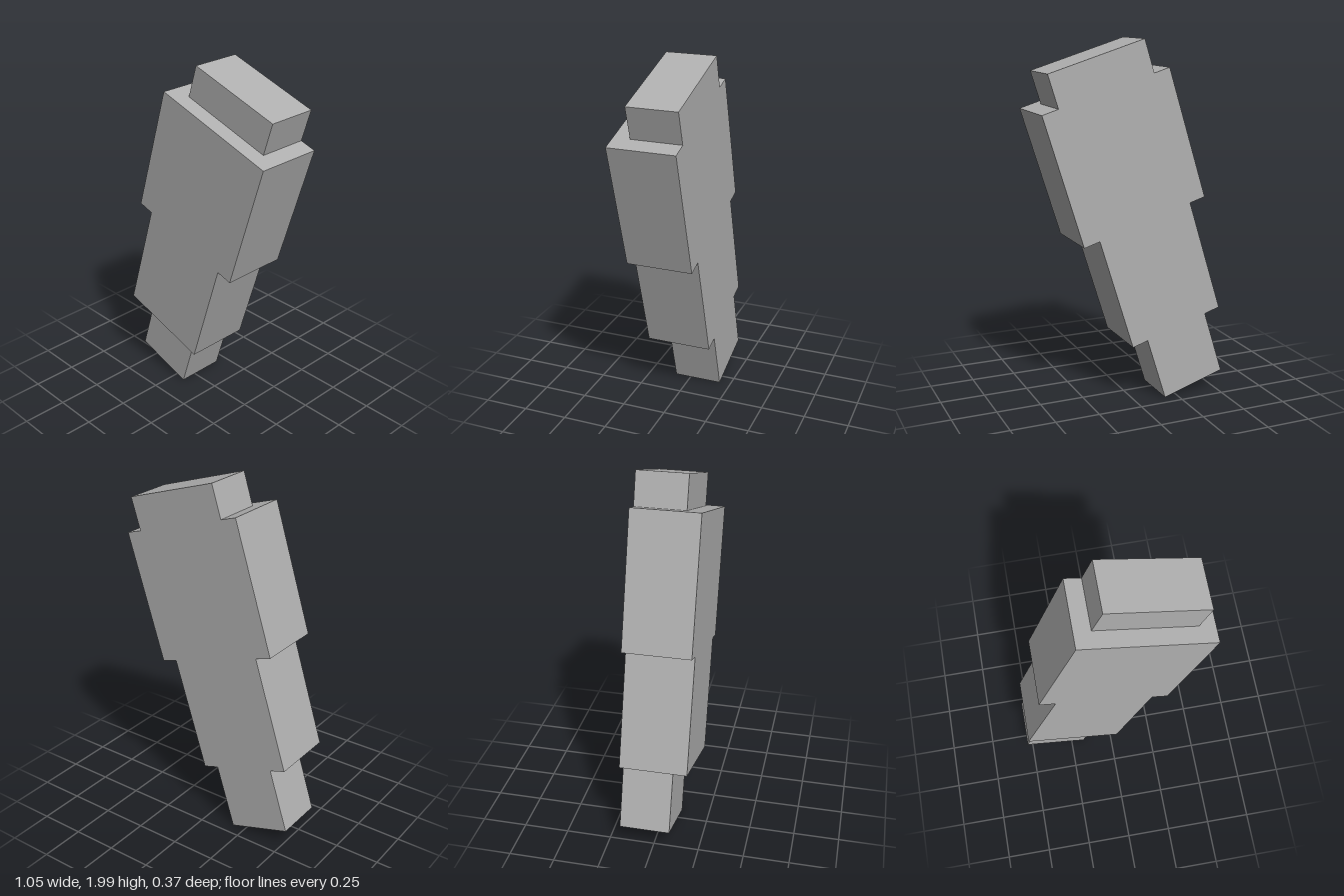
import * as THREE from 'three';

export function createModel() {
  const model = new THREE.Group();
  model.name = 'tiltedBlockFigure';
  const grey = new THREE.MeshStandardMaterial({ color: 0xb0b0b0 });
  grey.name = 'grey';

  const unit = 0.0923; // all blocks sit on this module
  const back = -2 * unit; // shared flush back plane

  // Everything is stacked along one axis, leaning to the side
  const stack = new THREE.Group();
  stack.name = 'leaningStack';
  stack.rotation.z = -0.302;
  model.add(stack);

  const axisX = -0.353;
  let y = -0.05;

  // Blocks from bottom to top: name, width, height, depth in units
  const blocks = [
    ['foot', 4, 4, 3],
    ['lowerBody', 6, 7, 4],
    ['upperBody', 8, 8, 4],
    ['topBlock', 6, 2, 3],
  ];
  for (const [name, w, h, d] of blocks) {
    const mesh = new THREE.Mesh(new THREE.BoxGeometry(w * unit, h * unit, d * unit), grey);
    mesh.name = name;
    mesh.position.set(axisX, y + (h * unit) / 2, back + (d * unit) / 2);
    y += h * unit;
    stack.add(mesh);
  }
  return model;
}
